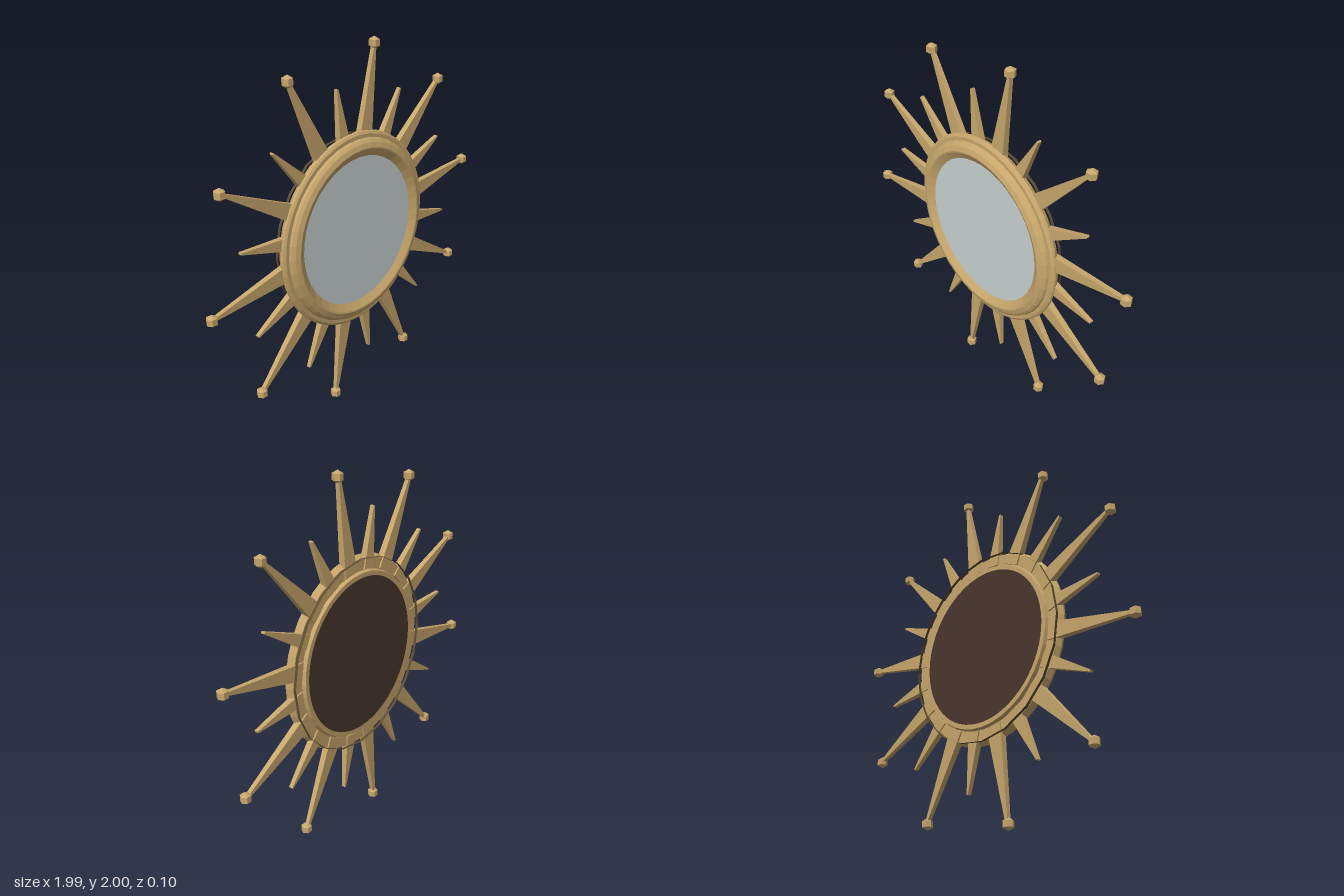
import * as THREE from 'three';

export function createModel() {
  const gold = new THREE.MeshStandardMaterial({ color: 0xc8a76c, flatShading: true });
  gold.name = 'antique gold';
  const glass = new THREE.MeshStandardMaterial({ color: 0xc9d1d1 });
  glass.name = 'mirror silver';
  const brown = new THREE.MeshStandardMaterial({ color: 0x4a372e });
  brown.name = 'backing brown';
  const bronze = new THREE.MeshStandardMaterial({ color: 0x5c4c30, flatShading: true, side: THREE.DoubleSide });
  bronze.name = 'dark bronze';

  const model = new THREE.Group();
  model.name = 'sunburstMirror';
  const wheel = new THREE.Group();
  wheel.name = 'wheel';
  wheel.position.y = 1;
  model.add(wheel);

  const add = (name, geometry, material, parent = wheel) => {
    const mesh = new THREE.Mesh(geometry, material);
    mesh.name = name;
    parent.add(mesh);
    return mesh;
  };

  // Ring turned about the z axis from (radius, z) pairs
  const turned = (profile, sides) =>
    new THREE.LatheGeometry(profile.map(([r, z]) => new THREE.Vector2(r, z)), sides).rotateX(Math.PI / 2);

  // Moulded frame: stepped rim, outward bevel, crest and inward cove
  add('frame', turned([
    [0.41, -0.03], [0.525, -0.03], [0.54, -0.005], [0.538, 0.008], [0.525, 0.017],
    [0.505, 0.017], [0.5, 0.03], [0.485, 0.043], [0.458, 0.052], [0.45, 0.05],
    [0.41, 0.025], [0.41, -0.03],
  ], 40), gold);

  // Raised inner ring and thin hoop at the back
  add('backRing', turned([
    [0.425, -0.049], [0.455, -0.049], [0.462, -0.03], [0.425, -0.03], [0.425, -0.049],
  ], 40), gold);
  add('backHoop', turned([[0.53, -0.052], [0.53, -0.036]], 20), bronze);

  // Mirror glass and backing board
  const pane = add('mirrorGlass', new THREE.CircleGeometry(0.412, 64), glass);
  pane.position.z = 0.026;
  const board = add('backingBoard', new THREE.CircleGeometry(0.43, 64), brown);
  board.rotation.y = Math.PI;
  board.position.z = -0.0495;

  // Tapered bar pointing along +x
  function rayGeometry(inner, outer, baseHalf, tipHalf) {
    const geometry = new THREE.BoxGeometry(outer - inner, 2, 2);
    const p = geometry.attributes.position;
    for (let i = 0; i < p.count; i++) {
      const tip = p.getX(i) > 0;
      p.setXYZ(i, tip ? outer : inner,
        p.getY(i) * (tip ? tipHalf : baseHalf),
        p.getZ(i) * (tip ? 0.011 : 0.019) - 0.019);
    }
    geometry.computeVertexNormals();
    return geometry;
  }
  const longRay = rayGeometry(0.465, 0.97, 0.048, 0.008);
  const shortRay = rayGeometry(0.465, 0.787, 0.039, 0.005);
  const ballGeometry = new THREE.SphereGeometry(0.033, 6, 3);

  // Ten long rays tipped with faceted balls, alternating with ten short ones
  for (let i = 0; i < 20; i++) {
    const angle = THREE.MathUtils.degToRad(9 + i * 18);
    const long = i % 2 === 0;
    const ray = add(long ? 'longRay' : 'shortRay', long ? longRay : shortRay, gold);
    ray.rotation.z = angle;
    if (long) {
      const ball = add('rayBall', ballGeometry, gold);
      ball.position.set(0.979 * Math.cos(angle), 0.979 * Math.sin(angle), -0.017);
    }
  }
  return model;
}
